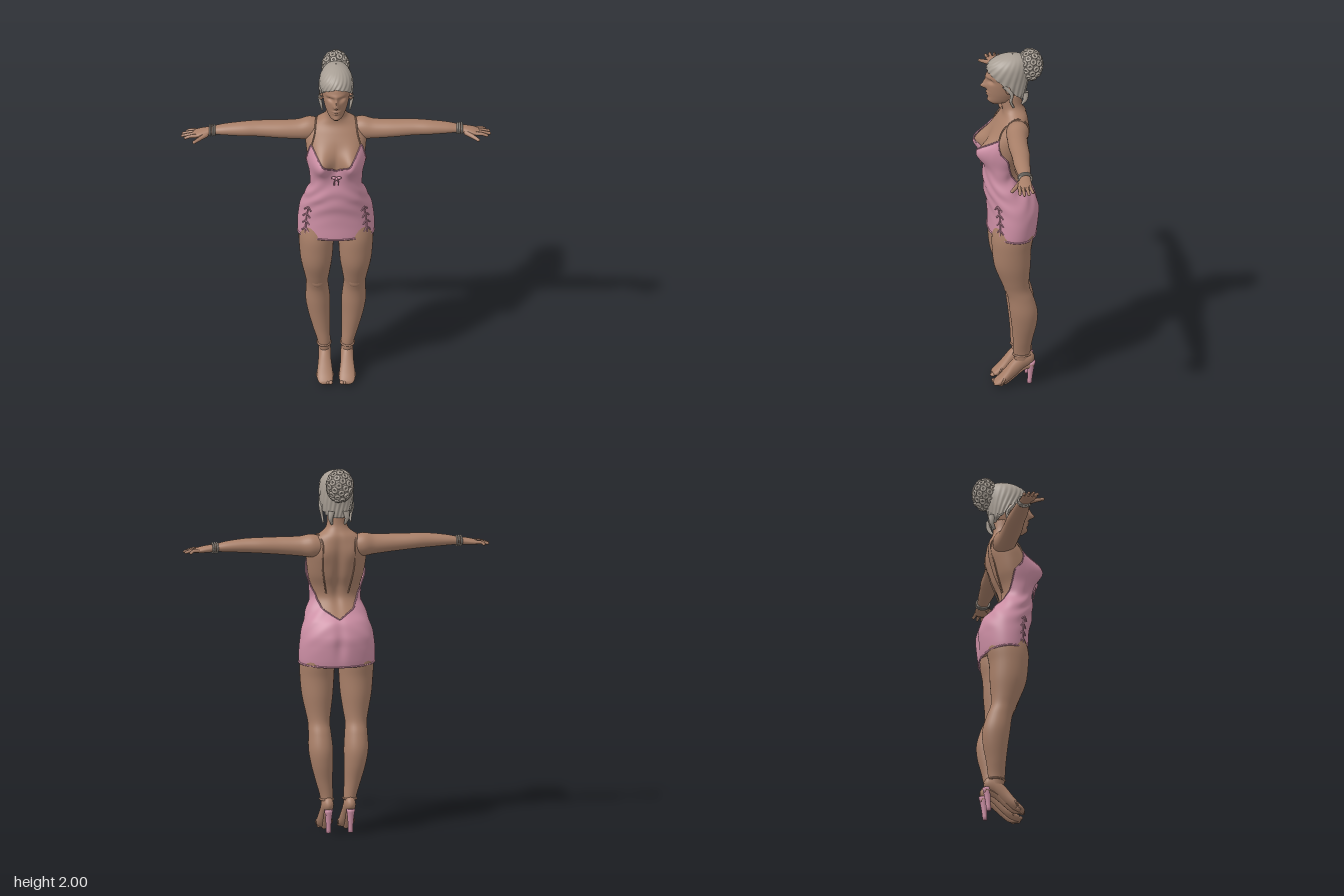
import * as THREE from 'three';

const mat = (name, color, side = THREE.FrontSide) => {
  const m = new THREE.MeshStandardMaterial({ color, side });
  m.name = name;
  return m;
};
const gauss = (d, s) => Math.exp(-(d * d) / (s * s));
const lerp = THREE.MathUtils.lerp;

// smooth interpolation of rows [t, a, b, ...] at t
function sample(rows, t) {
  const n = rows.length - 1;
  let i = 0;
  while (i < n - 1 && t > rows[i + 1][0]) i++;
  const A = rows[i], B = rows[i + 1], P = rows[Math.max(i - 1, 0)], N = rows[Math.min(i + 2, n)];
  const h = B[0] - A[0], u = THREE.MathUtils.clamp((t - A[0]) / h, 0, 1);
  return A.slice(1).map((a, k) => {
    const b = B[k + 1];
    const ma = ((b - P[k + 1]) / (B[0] - P[0])) * h, mb = ((N[k + 1] - a) / (N[0] - A[0])) * h;
    const u2 = u * u, u3 = u2 * u;
    return (2 * u3 - 3 * u2 + 1) * a + (u3 - 2 * u2 + u) * ma + (3 * u2 - 2 * u3) * b + (u3 - u2) * mb;
  });
}
function linear(rows, t) {
  let i = 0;
  while (i < rows.length - 2 && t > rows[i + 1][0]) i++;
  const [a, b] = [rows[i], rows[i + 1]];
  return lerp(a[1], b[1], THREE.MathUtils.clamp((t - a[0]) / (b[0] - a[0]), 0, 1));
}

// closed-loop surface from fn(angle, v), optionally capped at both ends
function tubeSurface(fn, around, along, capped = true) {
  const pos = [], idx = [];
  for (let i = 0; i <= along; i++)
    for (let j = 0; j < around; j++) pos.push(...fn((j / around) * Math.PI * 2, i / along));
  const at = (i, j) => i * around + (j % around);
  for (let i = 0; i < along; i++)
    for (let j = 0; j < around; j++)
      idx.push(at(i, j), at(i + 1, j), at(i, j + 1), at(i, j + 1), at(i + 1, j), at(i + 1, j + 1));
  if (capped) for (const i of [0, along]) {
    const c = [0, 0, 0], k = pos.length / 3;
    for (let j = 0; j < around; j++) for (let d = 0; d < 3; d++) c[d] += pos[at(i, j) * 3 + d] / around;
    pos.push(...c);
    for (let j = 0; j < around; j++) idx.push(k, ...(i ? [at(i, j + 1), at(i, j)] : [at(i, j), at(i, j + 1)]));
  }
  const g = new THREE.BufferGeometry();
  g.setAttribute('position', new THREE.Float32BufferAttribute(pos, 3));
  g.setIndex(idx);
  g.computeVertexNormals();
  return g;
}
// limb from rows [t, centreU, centreV, radiusU, radiusV]; place maps (t, u, v) to [x, y, z]
const loft = (rows, place, around = 28, along = 48) => tubeSurface((a, f) => {
  const t = lerp(rows[0][0], rows[rows.length - 1][0], f), [cu, cv, ru, rv] = sample(rows, t);
  return place(t, cu + ru * Math.cos(a), cv + rv * Math.sin(a));
}, around, along);

// tapered tube through points
function strand(points, r0, r1, seg = 14) {
  const curve = new THREE.CatmullRomCurve3(points.map(p => new THREE.Vector3(...p)));
  const g = new THREE.TubeGeometry(curve, seg, 1, 8), p = g.attributes.position, c = new THREE.Vector3(), v = new THREE.Vector3();
  for (let i = 0; i < p.count; i++) {
    const f = Math.floor(i / 9) / seg;
    curve.getPointAt(f, c);
    v.fromBufferAttribute(p, i).sub(c).multiplyScalar(lerp(r0, r1, f)).add(c);
    p.setXYZ(i, v.x, v.y, v.z);
  }
  return g;
}
const ball = (x, y, z, a, b = a, c = a) => new THREE.SphereGeometry(1, 14, 10).scale(a, b, c).translate(x, y, z);

function flipX(g) {
  const m = g.clone().scale(-1, 1, 1), ix = m.index.array;
  for (let i = 0; i < ix.length; i += 3) [ix[i], ix[i + 1]] = [ix[i + 1], ix[i]];
  m.computeVertexNormals();
  return m;
}

// oval section rows: [y, halfWidth, front z, back z]
function oval(rows, y, a, grow = 0) {
  const [w, f, b] = sample(rows, y);
  return [(w + grow) * Math.cos(a), y, (f + b) / 2 + ((f - b) / 2 + grow) * Math.sin(a)];
}
const TORSO = [[0.9, .192, .102, -.136], [0.95, .198, .105, -.146], [1.02, .196, .106, -.154], [1.08, .188, .11, -.154],
  [1.15, .17, .122, -.127], [1.2, .153, .13, -.085], [1.27, .131, .13, -.04], [1.33, .134, .125, -.045],
  [1.4, .15, .115, -.075], [1.47, .16, .108, -.095], [1.53, .163, .088, -.105], [1.58, .148, .06, -.105],
  [1.62, .112, .035, -.1], [1.65, .069, .033, -.085], [1.68, .054, .04, -.075], [1.74, .05, .045, -.075]];
function body(a, y, grow = 0) {
  const p = oval(TORSO, y, a, grow), x = Math.abs(p[0]), s = Math.sin(a);
  if (s > 0) p[2] += Math.min(1, s * 2) * .077 * gauss(x - .085, .056) * gauss(y - 1.425, .07); // bust
  else p[2] -= s * (.016 * gauss(x, .025) * gauss(y - 1.4, .2) + .014 * gauss(x, .03) * gauss(y - 1.03, .08)
    - .012 * gauss(x - .08, .04) * gauss(y - 1.53, .06)); // spine groove and shoulder blades
  return p;
}

const HEAD = [[1.682, .018, .09, .04], [1.7, .04, .107, -.03], [1.74, .058, .112, -.06], [1.78, .068, .117, -.08],
  [1.83, .075, .118, -.09], [1.88, .076, .112, -.09], [1.93, .06, .08, -.07], [1.95, .03, .04, -.04]];
function face(a, f) {
  const y = lerp(1.682, 1.95, f), p = oval(HEAD, y, a), x = Math.abs(p[0]);
  if (Math.sin(a) > 0) p[2] += .03 * gauss(x, .013) * gauss(y - 1.79, .015) + .018 * gauss(x, .01) * gauss(y - 1.815, .022)
    - .016 * gauss(x - .032, .02) * gauss(y - 1.826, .013) + .006 * gauss(x, .06) * gauss(y - 1.85, .012)
    + .009 * gauss(x, .02) * gauss(y - 1.753, .006) + .008 * gauss(x, .018) * gauss(y - 1.739, .006)
    + .006 * gauss(x, .02) * gauss(y - 1.705, .012);
  return p;
}

const HAIR = [[1.69, .052, .02, -.075], [1.74, .076, .05, -.092], [1.79, .087, .08, -.102], [1.83, .091, .105, -.11],
  [1.88, .091, .12, -.115], [1.92, .082, .107, -.11], [1.95, .06, .07, -.095], [1.967, .03, .02, -.06], [1.973, .003, -.02, -.026]];
const HAIRLINE = [[0, 1.895], [.6, 1.875], [1.05, 1.835], [1.35, 1.8], [1.7, 1.76], [2.3, 1.72], [3.14, 1.72]];
const NECKLINE = [[0, 1.39], [.45, 1.44], [.9, 1.52], [1.25, 1.44], [1.57, 1.4], [2, 1.32], [2.5, 1.23], [3.14, 1.17]];
const fromFront = a => Math.acos(THREE.MathUtils.clamp(Math.sin(a), -1, 1));
const hemY = a => .928 + .013 * Math.sin(a);
const dressPoint = (a, f) => {
  const y = lerp(hemY(a), linear(NECKLINE, fromFront(a)), f);
  const fold = .003 * Math.sin(y * 60 + 5 * Math.cos(a * 2)) * gauss(y - 1.2, .12);
  return body(a, y, .009 + fold);
};

export function createModel() {
  const model = new THREE.Group();
  const skin = mat('skin', 0xa87f68), pink = mat('pink fabric', 0xcd8fa5, THREE.DoubleSide), grey = mat('silver hair', 0xa79e94, THREE.DoubleSide);
  const add = (name, geo, m) => {
    const mesh = new THREE.Mesh(geo, m);
    mesh.name = name;
    model.add(mesh);
  };
  const pair = (name, geo, m) => { add(name + 'Left', geo, m); add(name + 'Right', flipX(geo), m); };

  // body and head
  add('torso', tubeSurface((a, f) => body(a, lerp(.97, 1.74, f)), 96, 80), skin);
  add('head', tubeSurface(face, 128, 90), skin);
  pair('ear', ball(.08, 1.795, .008, .012, .026, .016), skin);

  // arms and hands
  pair('arm', loft([[.07, -.035, 1.56, .05, .05], [.14, -.035, 1.565, .062, .063], [.2, -.026, 1.563, .056, .054],
    [.3, -.02, 1.567, .053, .048], [.42, -.02, 1.572, .049, .042], [.5, -.015, 1.573, .045, .038], [.6, -.015, 1.57, .037, .029],
    [.66, -.015, 1.565, .029, .021], [.7, -.01, 1.56, .034, .02], [.74, -.005, 1.555, .039, .016], [.772, -.003, 1.55, .034, .01]],
    (t, u, v) => [t, v, u], 28, 60), skin);
  [[-.032, -.042, .805], [-.012, -.018, .828], [.008, .007, .832], [.026, .03, .818]].forEach(([z0, z1, x], i) => {
    pair('finger' + (i + 1), strand([[.75, 1.555, z0], [.785, 1.553, (z0 + z1) / 2], [x - .008, 1.545, z1]], .0105, .008, 8), skin);
    pair('fingertip' + (i + 1), ball(x - .008, 1.545, z1, .008), skin);
  });
  pair('thumb', strand([[.695, 1.555, .012], [.73, 1.548, .04], [.762, 1.54, .066]], .015, .009, 8), skin);
  pair('thumbTip', ball(.763, 1.54, .067, .0095), skin);
  for (const [i, x] of [.652, .664, .676].entries())
    pair('bracelet' + (i + 1), new THREE.TorusGeometry(1, .16, 8, 28).scale(.035, .026, .032).rotateY(Math.PI / 2).translate(x, 1.565, -.015), grey);

  // legs
  pair('leg', loft([[.13, .06, -.068, .03, .04], [.2, .064, -.065, .035, .046], [.28, .077, -.069, .045, .053], [.38, .09, -.075, .059, .068],
    [.46, .096, -.072, .066, .075], [.55, .099, -.055, .061, .069], [.6, .101, -.037, .059, .068], [.65, .102, -.025, .067, .076],
    [.75, .105, -.01, .084, .098], [.85, .106, -.006, .092, .106], [.93, .106, -.012, .094, .113], [1.03, .1, -.02, .085, .1]],
    (t, u, v) => [u, t, v], 32, 72), skin);
  pair('kneecap', ball(.1, .625, .018, .036, .042, .02), skin);

  // arched feet in heeled sandals
  pair('foot', loft([[-.134, .158, .06, .012, .01], [-.118, .16, .06, .035, .026], [-.07, .145, .06, .052, .033], [-.02, .1, .06, .053, .035],
    [.025, .054, .06, .039, .042], [.055, .03, .059, .025, .043], [.078, .018, .057, .014, .036], [.086, .014, .056, .008, .026]],
    (t, u, v) => [v, u, t], 24, 40), skin);
  for (let i = 0; i < 5; i++)
    pair('toe' + (i + 1), ball(.03 + i * .0145, .017, .08 - i * i * .0018, i ? .009 : .012, .01, .015), skin);
  pair('shoeSole', strand([[.06, .122, -.125], [.06, .1, -.07], [.06, .04, -.005], [.059, .012, .03], [.057, .011, .075]], .022, .011).scale(1, 1, 1), skin);
  pair('ankleStrap', new THREE.TorusGeometry(1, .12, 8, 28).scale(.036, .046, .05).rotateX(Math.PI / 2).translate(.063, .185, -.066), skin);
  pair('toeStrap', new THREE.TorusGeometry(1, .1, 8, 28).scale(.044, .032, .06).rotateX(-.5).translate(.06, .042, .038), skin);
  pair('shoeHeel', tubeSurface((a, f) => {
    const r = lerp(.013, .024, f * f);
    return [.06 + r * Math.cos(a), .006 + .129 * f, lerp(-.107, -.117, f) + r * Math.sin(a)];
  }, 16, 8), pink);

  // dress with hem, bow and side lacing
  add('dress', tubeSurface(dressPoint, 128, 70, false), pink);
  const ring = f => new THREE.CatmullRomCurve3(Array.from({ length: 96 }, (_, j) => new THREE.Vector3(...dressPoint(j / 96 * Math.PI * 2, f))), true);
  add('hem', new THREE.TubeGeometry(ring(0), 128, .005, 6, true), pink);
  add('necklineEdge', new THREE.TubeGeometry(ring(1), 192, .004, 6, true), pink);
  add('bowKnot', ball(0, 1.355, .152, .009), pink);
  pair('bowLoop', ball(.014, 1.36, .152, .014, .008, .007), pink);
  pair('bowTail', strand([[0, 1.355, .152], [.01, 1.335, .15], [.012, 1.31, .148]], .004, .003, 8), pink);
  for (let i = 0; i < 4; i++)
    pair('sideLace' + (i + 1), strand([[.52, .97 + i * .045], [.66, .99 + i * .045], [.8, .97 + i * .045]].map(([a, y]) => body(a, y, .012)), .004, .004, 8), pink);
  pair('sideSeam', strand([0, 1, 2, 3, 4].map(i => body(.66, .95 + i * .045, .011)), .005, .004, 16), pink);
  pair('shoulderStrap', strand([body(.67, 1.515, .005), body(.75, 1.57, .006), [.105, 1.628, -.03], body(-.95, 1.58, .003),
    body(-1, 1.45, .002), body(-1.1, 1.3, .003)], .004, .004, 40), skin);

  // swept-up hair
  add('hair', tubeSurface((a, f) => {
    const y = lerp(linear(HAIRLINE, fromFront(a)), 1.973, f);
    return oval(HAIR, y, a, .0028 * Math.sin(a * 22 + 14 * f) * (1 - f));
  }, 160, 40, false), grey);
  pair('sideLock', strand([[.078, 1.82, .03], [.086, 1.77, -.008], [.078, 1.72, -.005], [.074, 1.685, -.02]], .014, .005), grey);
  pair('napeCurl', strand([[.04, 1.76, -.085], [.045, 1.72, -.088], [.035, 1.685, -.07]], .02, .006), grey);
  add('bun', new THREE.SphereGeometry(1, 28, 20).scale(.064, .078, .06).translate(0, 1.902, -.118), grey);

  // curls spread evenly over the bun
  const count = 54;
  for (let i = 0; i < count; i++) {
    const h = 1 - (2 * i + 1) / count, r = Math.sqrt(1 - h * h), a = i * 2.39996;
    const n = new THREE.Vector3(r * Math.cos(a), h, r * Math.sin(a));
    const g = new THREE.TorusGeometry(.0115, .0075, 8, 12);
    g.applyQuaternion(new THREE.Quaternion().setFromUnitVectors(new THREE.Vector3(0, 0, 1), n));
    add('bunCurl' + (i + 1), g.translate(n.x * .068, 1.902 + n.y * .085, -.118 + n.z * .063), grey);
  }
  return model;
}
